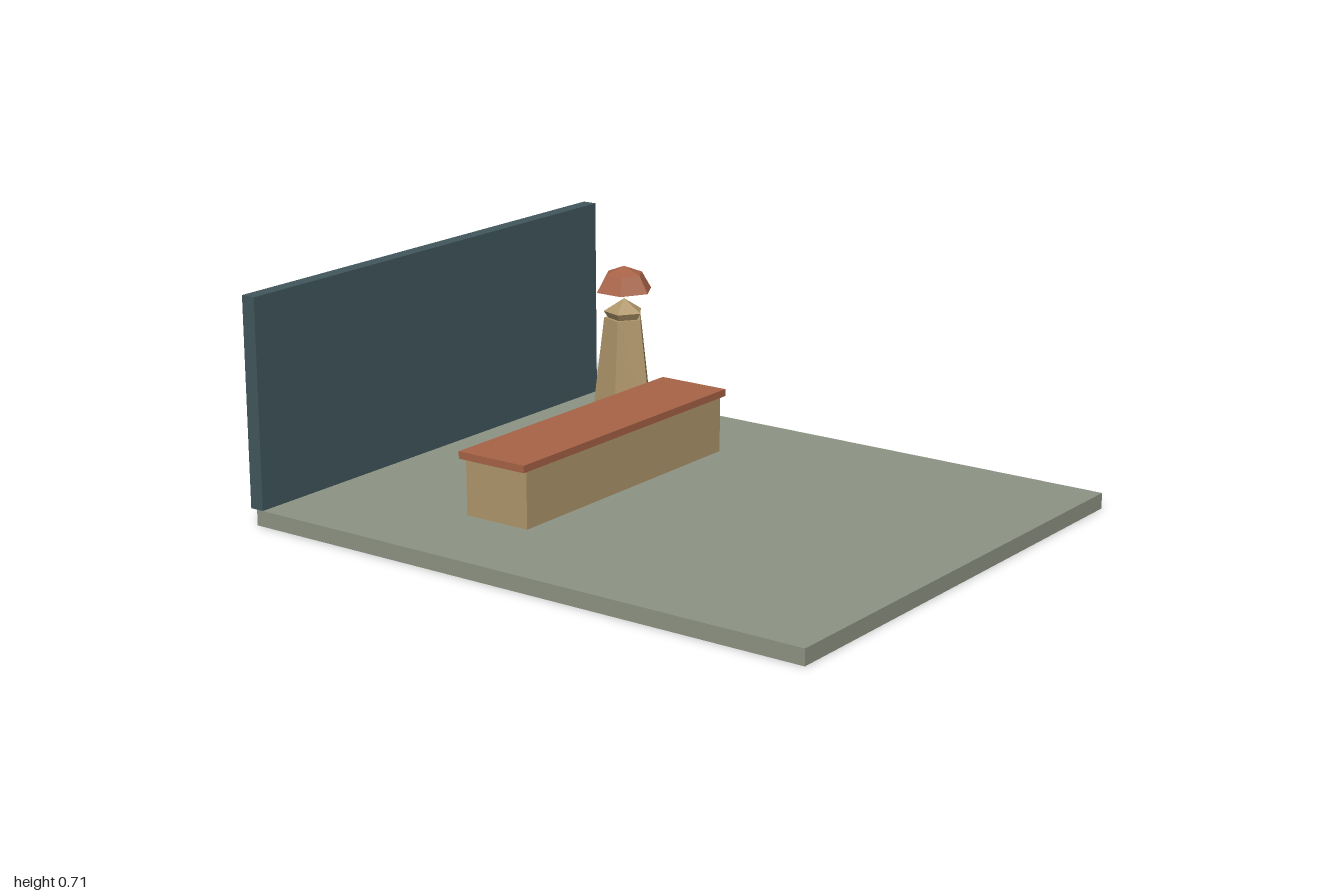
import * as THREE from 'three';

const material = (name, color) => {
  const m = new THREE.MeshStandardMaterial({ color });
  m.name = name;
  return m;
};

export function createModel() {
  const stone = material('greyStone', 0x8e9484);
  const slate = material('darkSlate', 0x41575c);
  const sand = material('sand', 0xb0976c);
  const clay = material('redClay', 0xa86347);

  const model = new THREE.Group();
  model.name = 'marketCounter';

  // Box given by its minimum and maximum corners
  const box = (name, mat, [x0, y0, z0], [x1, y1, z1]) => {
    const mesh = new THREE.Mesh(new THREE.BoxGeometry(x1 - x0, y1 - y0, z1 - z0), mat);
    mesh.name = name;
    mesh.position.set((x0 + x1) / 2, (y0 + y1) / 2, (z0 + z1) / 2);
    model.add(mesh);
  };

  // Floor and back wall
  box('floor', stone, [-0.82, 0, -0.976], [0.82, 0.05, 1]);
  box('backWall', slate, [-0.82, 0.05, -1], [0.82, 0.71, -0.952]);

  // Counter with an overhanging top
  box('counterBody', sand, [-0.49, 0.05, -0.43], [0.49, 0.232, -0.2]);
  box('counterTop', clay, [-0.51, 0.23, -0.441], [0.51, 0.253, -0.193]);

  // Figure behind the counter, turned from faceted profiles (radius, height)
  const figure = new THREE.Group();
  figure.name = 'figure';
  figure.position.set(0.575, 0, -0.646);
  model.add(figure);

  const faceted = (name, mat, sides, profile) => {
    const points = profile.map(([r, y]) => new THREE.Vector2(r, y));
    const geometry = new THREE.LatheGeometry(points, sides).toNonIndexed();
    geometry.computeVertexNormals();
    const mesh = new THREE.Mesh(geometry, mat);
    mesh.name = name;
    figure.add(mesh);
  };

  faceted('robe', sand, 5, [[0, 0.05], [0.11, 0.05], [0.066, 0.408], [0, 0.408]]);
  faceted('head', sand, 5, [[0, 0.375], [0.045, 0.395], [0.067, 0.43], [0, 0.473]]);
  faceted('domedHat', clay, 6, [[0, 0.5], [0.0965, 0.5], [0.0635, 0.557], [0, 0.582]]);

  return model;
}
